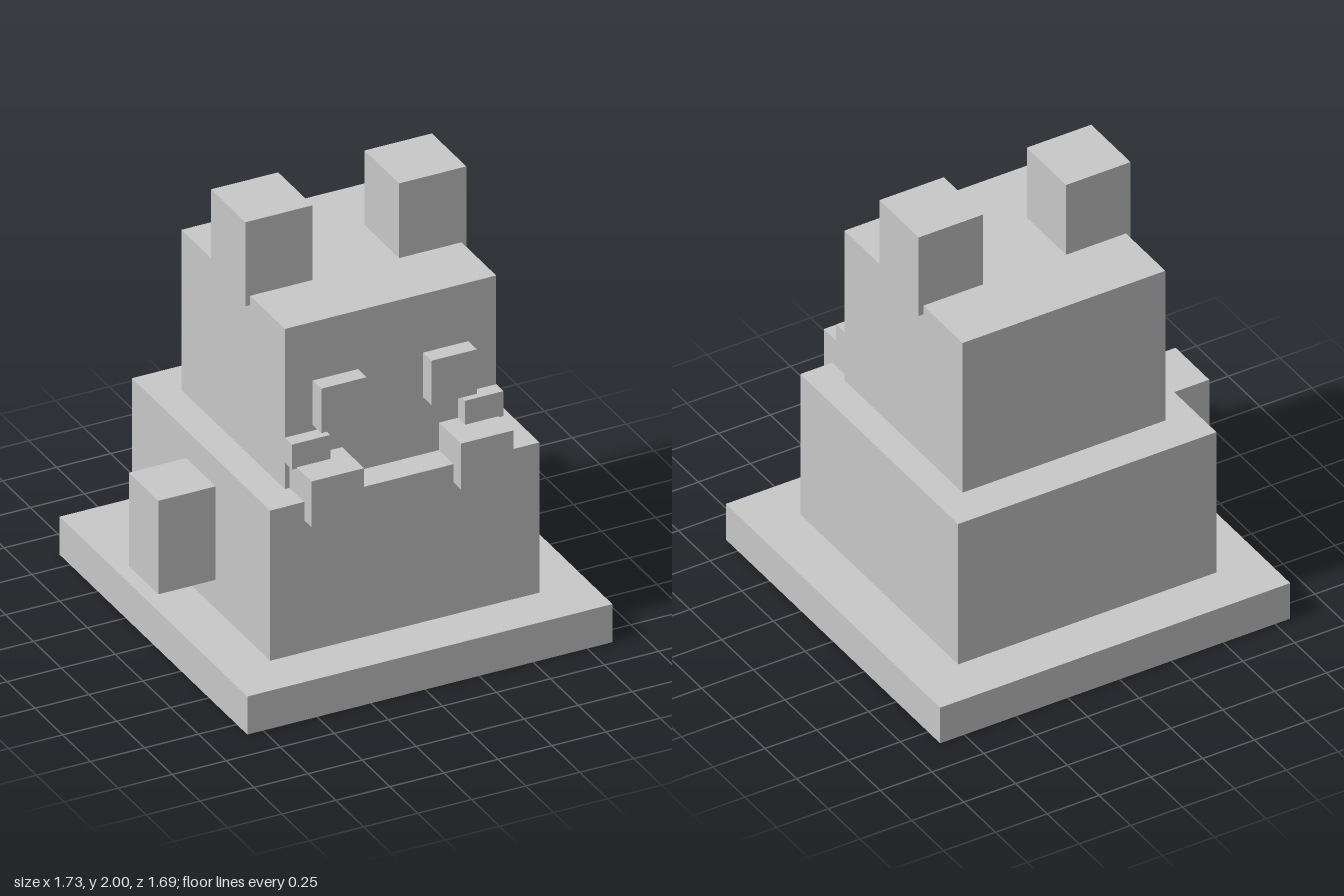
import * as THREE from 'three';

export function createModel() {
  const model = new THREE.Group();
  model.name = 'blockAnimal';
  const grey = new THREE.MeshStandardMaterial({ color: 0xc8c8c8 });
  grey.name = 'lightGrey';

  // Box given by its lower and upper corners
  function block(name, [x0, y0, z0], [x1, y1, z1]) {
    const mesh = new THREE.Mesh(new THREE.BoxGeometry(x1 - x0, y1 - y0, z1 - z0), grey);
    mesh.position.set((x0 + x1) / 2, (y0 + y1) / 2, (z0 + z1) / 2);
    mesh.name = name;
    model.add(mesh);
  }

  // The figure's own centre line, slightly to the left of x = 0
  const mid = 0.022;

  // Pair of boxes, mirrored about the centre line
  function pair(name, inner, outer, y0, y1, z0, z1) {
    block('left' + name, [mid + inner, y0, z0], [mid + outer, y1, z1]);
    block('right' + name, [mid - outer, y0, z0], [mid - inner, y1, z1]);
  }

  // Stacked base, body and head
  block('base', [-0.823, 0, -0.845], [0.866, 0.18, 0.845]);
  block('body', [-0.603, 0.18, -0.622], [0.643, 0.89, 0.622]);
  block('head', [-0.467, 0.89, -0.442], [0.511, 1.647, 0.49]);

  // Ears, sunk a little into the head
  pair('Ear', 0.2, 0.511, 1.603, 2, -0.132, 0.178);

  // Face details
  pair('Eye', 0.15, 0.36, 1.16, 1.37, 0.47, 0.567);
  pair('Cheek', 0.312, 0.489, 1.015, 1.133, 0.47, 0.555);
  pair('Paw', 0.224, 0.467, 0.803, 1.02, 0.46, 0.688);

  // Block on the right flank
  block('sideBlock', [-0.868, 0.316, -0.133], [-0.6, 0.758, 0.132]);

  return model;
}
